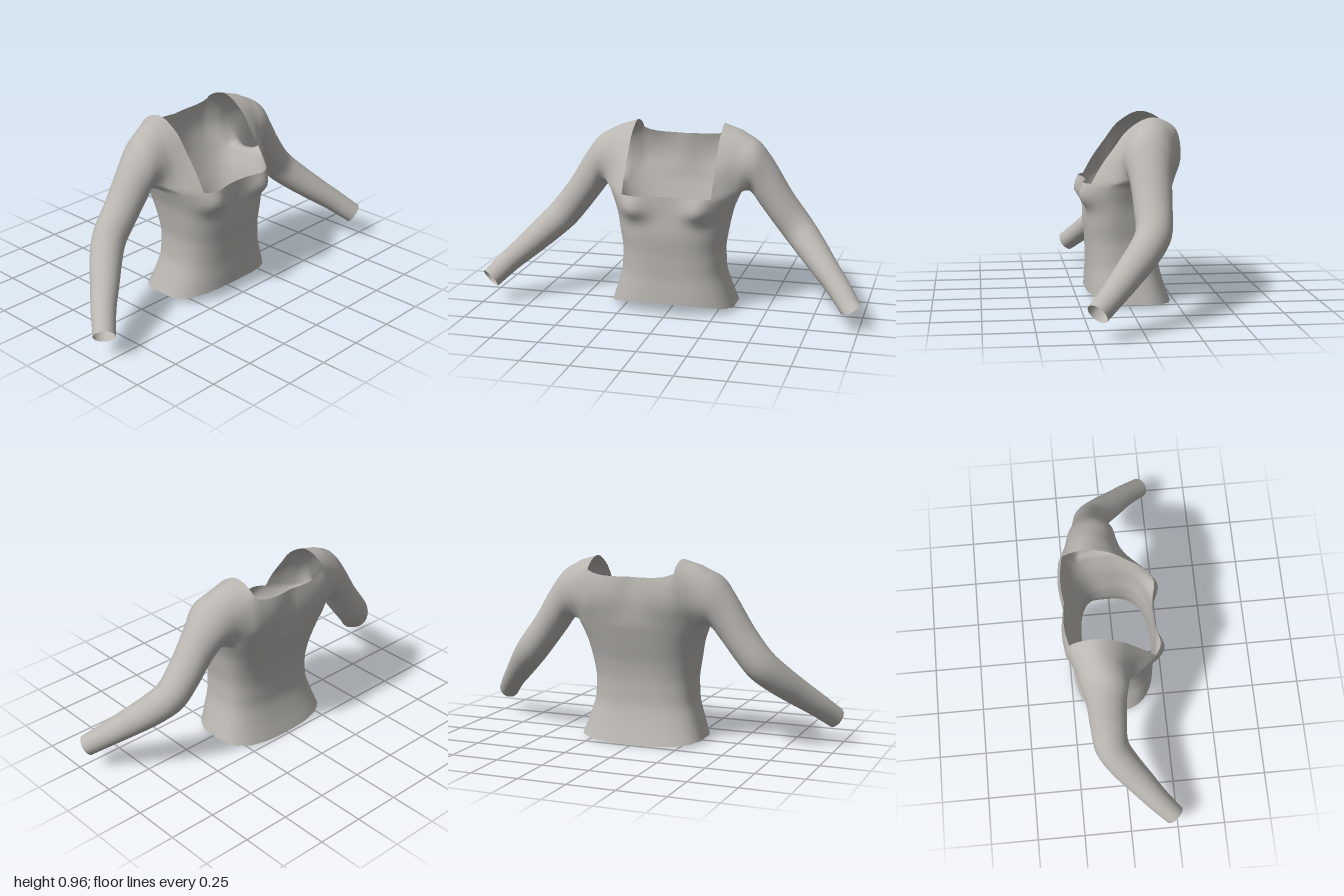
import * as THREE from 'three';
import { mergeVertices } from 'three/addons/utils/BufferGeometryUtils.js';

const V = (x, y, z) => new THREE.Vector3(x, y, z);
const curve = (pts) => new THREE.CatmullRomCurve3(pts);
const TOP = 0.63; // height of the front neckline and armpit

// Torso sizes at even heights from hem to armpit: half width, front z, back z
const bodySizes = curve([
  V(0.338, 0.21, -0.235), V(0.303, 0.205, -0.198), V(0.273, 0.2, -0.175), V(0.268, 0.203, -0.175),
  V(0.282, 0.212, -0.19), V(0.303, 0.205, -0.22), V(0.345, 0.2, -0.25),
]);

// Point on the torso; a runs from 0 (front centre) to PI (back centre)
function bodyPoint(a, y) {
  const s = bodySizes.getPoint(y / TOP);
  const mid = (s.y + s.z) / 2, depth = (s.y - s.z) / 2;
  const c = Math.cos(a);
  const x = s.x * Math.pow(Math.max(0, Math.sin(a)), 0.75);
  let z = mid + depth * Math.sign(c) * Math.pow(Math.abs(c), c > 0 ? 0.75 : 0.55);
  if (c > 0) {
    // bust
    const dy = (y - 0.56) / (y > 0.56 ? 0.1 : 0.06), dx = (x - 0.185) / 0.085;
    z += 0.065 * Math.sqrt(c) * Math.exp(-dx * dx - dy * dy);
  }
  return V(x < 1e-6 ? 0 : x, y, z);
}

// Column angles: front, front strap, under the arm, back strap, back
const EDGE = 0.642, ARM = 1.089;
const stops = [[0, EDGE, 8], [EDGE, ARM, 4], [ARM, Math.PI - ARM, 10], [Math.PI - ARM, Math.PI - EDGE, 4], [Math.PI - EDGE, Math.PI, 8]];
const angles = [0];
for (const [from, to, n] of stops) {
  for (let i = 1; i <= n; i++) angles.push(from + ((to - from) * i) / n);
}

function torsoRows() {
  const rows = [];
  for (let j = 0; j <= 28; j++) {
    rows.push(angles.map((a) => {
      const c = Math.cos(a);
      const hem = 0.02 + (c > 0 ? 0.038 : -0.019) * c * c + 0.002 * Math.sin(a * 17) * Math.sin(a);
      return bodyPoint(a, THREE.MathUtils.lerp(hem, TOP, j / 28));
    }));
  }
  return rows;
}

// Shoulder strap: from the front, over the shoulder and down the back
const neckEdge = [
  V(0.235, 0.72, 0.14), V(0.235, 0.81, 0.075), V(0.235, 0.9, 0.005), V(0.235, 0.96, -0.1),
  V(0.235, 0.95, -0.175), V(0.235, 0.9, -0.242), V(0.235, 0.75, -0.264),
];
const armEdge = [
  V(0.315, 0.72, 0.075), V(0.325, 0.82, 0.035), V(0.33, 0.895, -0.02), V(0.33, 0.932, -0.09),
  V(0.33, 0.92, -0.16), V(0.325, 0.85, -0.215), V(0.32, 0.74, -0.222),
];
function strapRows() {
  const columns = [];
  for (let i = 0; i <= 4; i++) {
    const pts = neckEdge.map((p, k) => p.clone().lerp(armEdge[k], i / 4));
    columns.push(curve([bodyPoint(angles[8 + i], TOP), ...pts, bodyPoint(angles[26 - i], TOP)]).getPoints(32));
  }
  return columns[0].map((_, r) => columns.map((c) => c[r]));
}

// Upper back between the straps
function backRows(strap) {
  const spine = curve([V(0, 0.875, -0.25), V(0, 0.755, -0.258), bodyPoint(Math.PI, TOP)]).getPoints(8);
  const raw = spine.map((c, k) => {
    const s = strap[24 + k][0], row = [];
    for (let i = 0; i <= 8; i++) {
      const v = i / 8, p = c.clone().lerp(s, v);
      p.y = THREE.MathUtils.lerp(c.y, s.y, Math.pow(v, 5));
      p.z -= 0.014 * Math.sin(Math.PI * v);
      row.push(p);
    }
    return row;
  });
  // ease the rows into the top of the torso
  const shift = raw[8].map((p, i) => bodyPoint(angles[34 - i], TOP).sub(p));
  return raw.map((row, k) => row.map((p, i) => p.addScaledVector(shift[i], (k / 8) ** 2)));
}

// Sleeve rings: top x, y, bottom x, y, centre z, depth radius
const rings = [
  [0.425, 0.882, 0.385, 0.622, -0.085, 0.122],
  [0.5, 0.79, 0.44, 0.555, -0.082, 0.103],
  [0.6, 0.63, 0.51, 0.465, -0.08, 0.094],
  [0.7, 0.5, 0.585, 0.375, -0.07, 0.088],
  [0.775, 0.415, 0.66, 0.308, -0.015, 0.082],
  [0.855, 0.325, 0.745, 0.24, 0.065, 0.073],
  [0.93, 0.245, 0.835, 0.17, 0.145, 0.063],
  [0.997, 0.169, 0.919, 0.091, 0.23, 0.055],
];
function sleeveRows(strap) {
  // armhole loop: back over the shoulder to the front, then under the arm
  const hole = strap.map((r) => r[4]).reverse();
  for (let i = 13; i <= 22; i++) hole.push(bodyPoint(angles[i], TOP));
  const centres = [V(0.31, 0.78, -0.075), ...rings.map((r) => V((r[0] + r[2]) / 2, (r[1] + r[3]) / 2, r[4]))];
  const columns = hole.map((h) => {
    const phi = Math.atan2((h.z + 0.07) / 0.15, (h.y - 0.78) / 0.15);
    const pts = rings.map((r, k) => {
      const along = centres[Math.min(k + 2, rings.length)].clone().sub(centres[k]);
      const up = V((r[0] - r[2]) / 2, (r[1] - r[3]) / 2, 0);
      const side = along.cross(up).normalize().multiplyScalar(r[5]);
      return centres[k + 1].clone().addScaledVector(up, Math.cos(phi)).addScaledVector(side, Math.sin(phi));
    });
    return curve([h, ...pts]).getPoints(32);
  });
  return columns[0].map((_, r) => columns.map((c) => c[r]));
}

export function createModel() {
  const group = new THREE.Group();
  group.name = 'fittedTop';
  const fabric = new THREE.MeshStandardMaterial({ color: 0xbab7b2, side: THREE.DoubleSide });
  fabric.name = 'greyFabric';

  const positions = [], parts = [];
  // Add one grid of points, mirrored when side is -1
  function addGrid(rows, side) {
    const put = (p) => positions.push(p.x * side, p.y, p.z);
    for (let j = 0; j + 1 < rows.length; j++) {
      for (let i = 0; i + 1 < rows[j].length; i++) {
        const a = rows[j][i], b = rows[j][i + 1], c = rows[j + 1][i + 1], d = rows[j + 1][i];
        (side > 0 ? [a, b, c, a, c, d] : [a, c, b, a, d, c]).forEach(put);
      }
    }
  }
  function addPart(name, grids) {
    const start = positions.length / 3;
    for (const [rows, side] of grids) addGrid(rows, side);
    parts.push([name, start, positions.length / 3]);
  }

  const torso = torsoRows(), strap = strapRows(), back = backRows(strap), sleeve = sleeveRows(strap);
  addPart('torso', [[torso, 1], [torso, -1]]);
  addPart('upperBack', [[back, 1], [back, -1]]);
  for (const [label, side] of [['left', 1], ['right', -1]]) {
    addPart(label + 'Shoulder', [[strap, side]]);
    addPart(label + 'Sleeve', [[sleeve, side]]);
  }

  // Join the seams so the shading runs smoothly across the parts
  const raw = new THREE.BufferGeometry();
  raw.setAttribute('position', new THREE.Float32BufferAttribute(positions, 3));
  const whole = mergeVertices(raw, 1e-4);
  whole.computeVertexNormals();
  const index = Array.from(whole.index.array);
  for (const [name, start, end] of parts) {
    const geometry = new THREE.BufferGeometry();
    geometry.setAttribute('position', whole.attributes.position);
    geometry.setAttribute('normal', whole.attributes.normal);
    geometry.setIndex(index.slice(start, end));
    const mesh = new THREE.Mesh(geometry, fabric);
    mesh.name = name;
    group.add(mesh);
  }
  return group;
}
